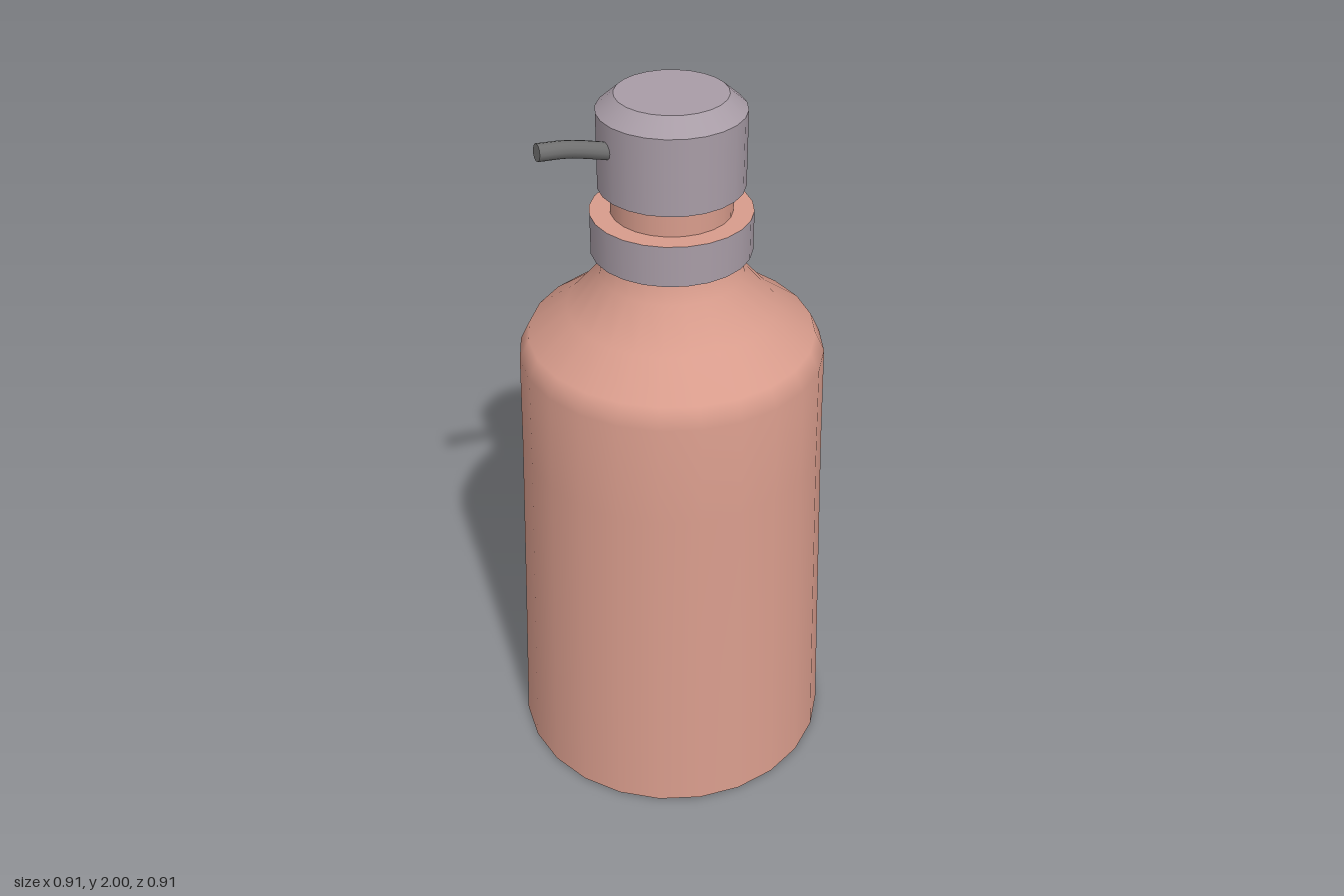
import * as THREE from 'three';

const SIDES = 24;

export function createModel() {
  const group = new THREE.Group();
  const clay = new THREE.MeshStandardMaterial({ color: 0xd89c8c });
  const mauve = new THREE.MeshStandardMaterial({ color: 0xa89ca6 });
  const steel = new THREE.MeshStandardMaterial({ color: 0x707070 });

  const add = (name, geometry, material) => {
    const mesh = new THREE.Mesh(geometry, material);
    mesh.name = name;
    group.add(mesh);
    return mesh;
  };

  // Upright round section; materials are [side, top, bottom]
  const round = (name, rTop, rBottom, y0, y1, materials) => {
    const mesh = add(name, new THREE.CylinderGeometry(rTop, rBottom, y1 - y0, SIDES), materials);
    mesh.position.y = (y0 + y1) / 2;
  };

  // Tapered bottle with rounded shoulder
  const profile = [
    [0.455, 0], [0.435, 0.5], [0.416, 1.0], [0.408, 1.285], [0.382, 1.338],
    [0.277, 1.415], [0.19, 1.515], [0.175, 1.59],
  ].map(([r, y]) => new THREE.Vector2(r, y));
  add('bottleBody', new THREE.LatheGeometry(profile, SIDES), clay);

  // Flat base
  const base = add('bottleBase', new THREE.CircleGeometry(0.455, SIDES), clay);
  base.rotation.set(Math.PI / 2, 0, Math.PI / 2);

  // Collar, neck and pump head
  round('collar', 0.21, 0.21, 1.58, 1.69, [mauve, clay, clay]);
  round('neck', 0.157, 0.157, 1.69, 1.76, clay);
  round('pumpHead', 0.188, 0.188, 1.76, 1.96, [mauve, mauve, clay]);
  round('pumpHeadBevel', 0.142, 0.188, 1.96, 2.0, mauve);

  // Bent spout with a closed tip
  const path = new THREE.CatmullRomCurve3([
    new THREE.Vector3(-0.12, 1.88, 0.09),
    new THREE.Vector3(-0.16, 1.893, 0.113),
    new THREE.Vector3(-0.235, 1.914, 0.157),
    new THREE.Vector3(-0.303, 1.921, 0.197),
  ]);
  add('spout', new THREE.TubeGeometry(path, 12, 0.022, 12), steel);
  const tip = add('spoutTip', new THREE.CircleGeometry(0.022, 12), steel);
  tip.position.copy(path.getPoint(1));
  tip.lookAt(path.getPoint(1).add(path.getTangent(1)));

  return group;
}
